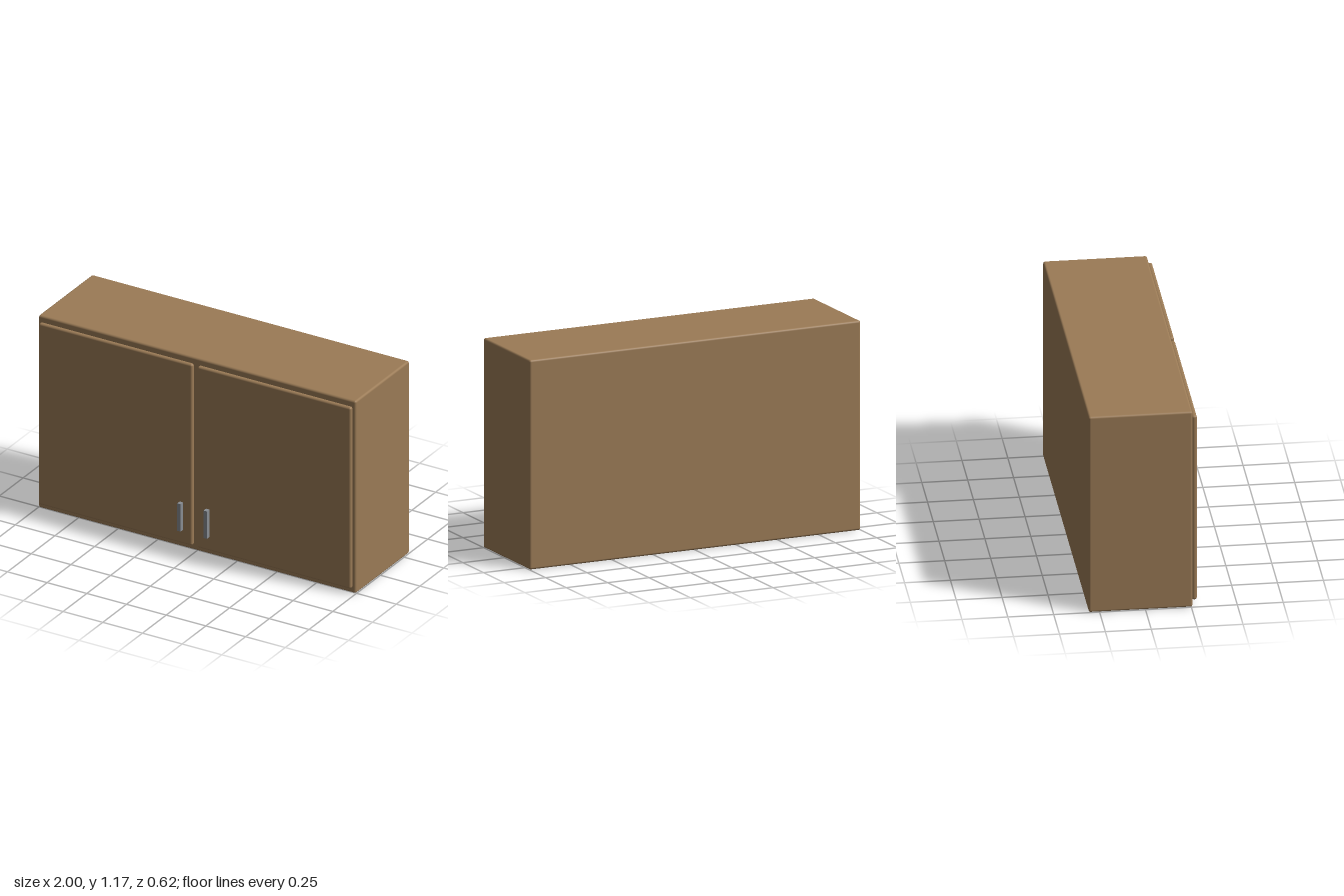
import * as THREE from 'three';
import { RoundedBoxGeometry } from 'three/addons/geometries/RoundedBoxGeometry.js';

export function createModel() {
  const group = new THREE.Group();
  const wood = new THREE.MeshStandardMaterial({ color: 0x9b7b56 });
  const metal = new THREE.MeshStandardMaterial({ color: 0x888c92 });

  function add(name, geometry, material, x, y, z) {
    const mesh = new THREE.Mesh(geometry, material);
    mesh.name = name;
    mesh.position.set(x, y, z);
    group.add(mesh);
  }

  // Cabinet body with softened edges
  add('cabinetBody', new RoundedBoxGeometry(2, 1.167, 0.566, 3, 0.012), wood, 0, 0.5835, -0.026);

  // Mirrored pair of doors, each with a bar handle near the middle
  const door = new RoundedBoxGeometry(0.967, 1.1, 0.027, 3, 0.012);
  const handle = new THREE.BoxGeometry(0.022, 0.166, 0.028);
  for (const [side, s] of [['left', 1], ['right', -1]]) {
    add(side + 'Door', door, wood, s * 0.4995, 0.5835, 0.2695);
    add(side + 'Handle', handle, metal, s * 0.083, 0.202, 0.296);
  }

  return group;
}
